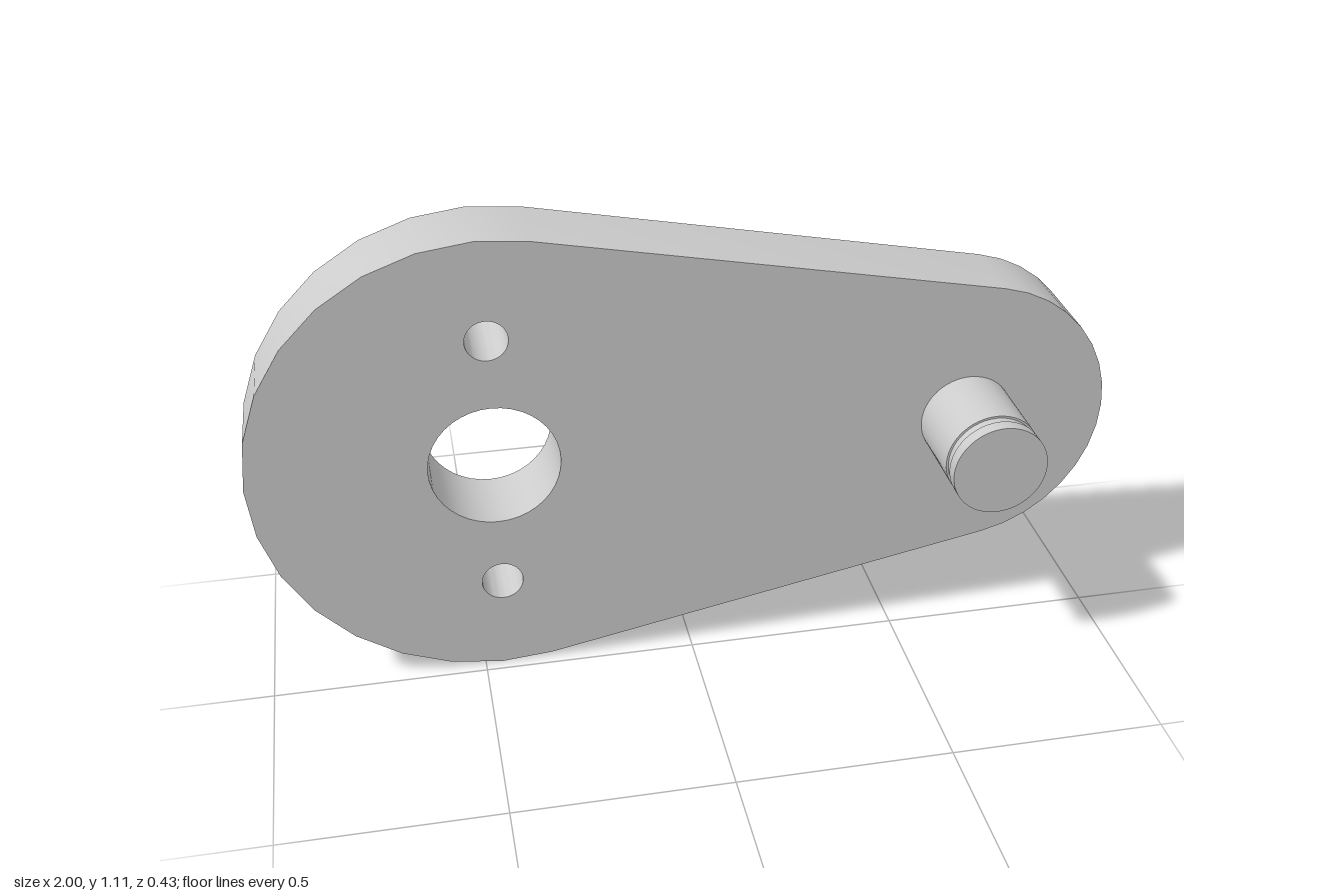
import * as THREE from 'three';
import { toCreasedNormals } from 'three/addons/utils/BufferGeometryUtils.js';

const MID_Y = 0.558;
const BACK_Z = -0.213, FACE_Z = -0.027, TIP_Z = 0.213;
const BIG = { x: -0.447, r: 0.553 };
const SMALL = { x: 0.663, r: 0.337 };

// Points along a circular arc
function arc(x, y, r, from, to, segments) {
  return Array.from({ length: segments + 1 }, (_, i) => {
    const a = from + (to - from) * i / segments;
    return new THREE.Vector2(x + r * Math.cos(a), y + r * Math.sin(a));
  });
}

export function createModel() {
  const group = new THREE.Group();
  group.name = 'crankArm';
  const material = new THREE.MeshStandardMaterial({ color: 0xcccccc });

  const add = (name, geometry) => {
    const mesh = new THREE.Mesh(toCreasedNormals(geometry, 0.5), material);
    mesh.name = name;
    group.add(mesh);
    return mesh;
  };

  // Arm plate: two round ends joined by their common tangents
  const t = Math.acos((BIG.r - SMALL.r) / (SMALL.x - BIG.x));
  const outline = new THREE.Shape([
    ...arc(SMALL.x, MID_Y, SMALL.r, -t, t, 16),
    ...arc(BIG.x, MID_Y, BIG.r, t, 2 * Math.PI - t, 16),
  ]);

  // Shaft bore with a bolt hole above and below
  for (const [dy, r] of [[0, 0.15], [0.317, 0.048], [-0.317, 0.048]]) {
    const circle = arc(BIG.x, MID_Y + dy, r, 0, -2 * Math.PI, 40);
    circle.pop();
    outline.holes.push(new THREE.Path(circle));
  }
  const plate = new THREE.ExtrudeGeometry(outline, {
    depth: FACE_Z - BACK_Z, bevelEnabled: false,
  });
  add('armPlate', plate).position.z = BACK_Z;

  // Crank pin with a shallow retaining groove near its tip
  const profile = [
    [0.11, FACE_Z], [0.11, 0.158], [0.105, 0.158], [0.105, 0.182],
    [0.11, 0.182], [0.11, TIP_Z], [0, TIP_Z],
  ].map(([r, z]) => new THREE.Vector2(r, z));
  const pin = new THREE.LatheGeometry(profile, 48).rotateX(Math.PI / 2);
  add('crankPin', pin).position.set(SMALL.x, MID_Y, 0);

  return group;
}
